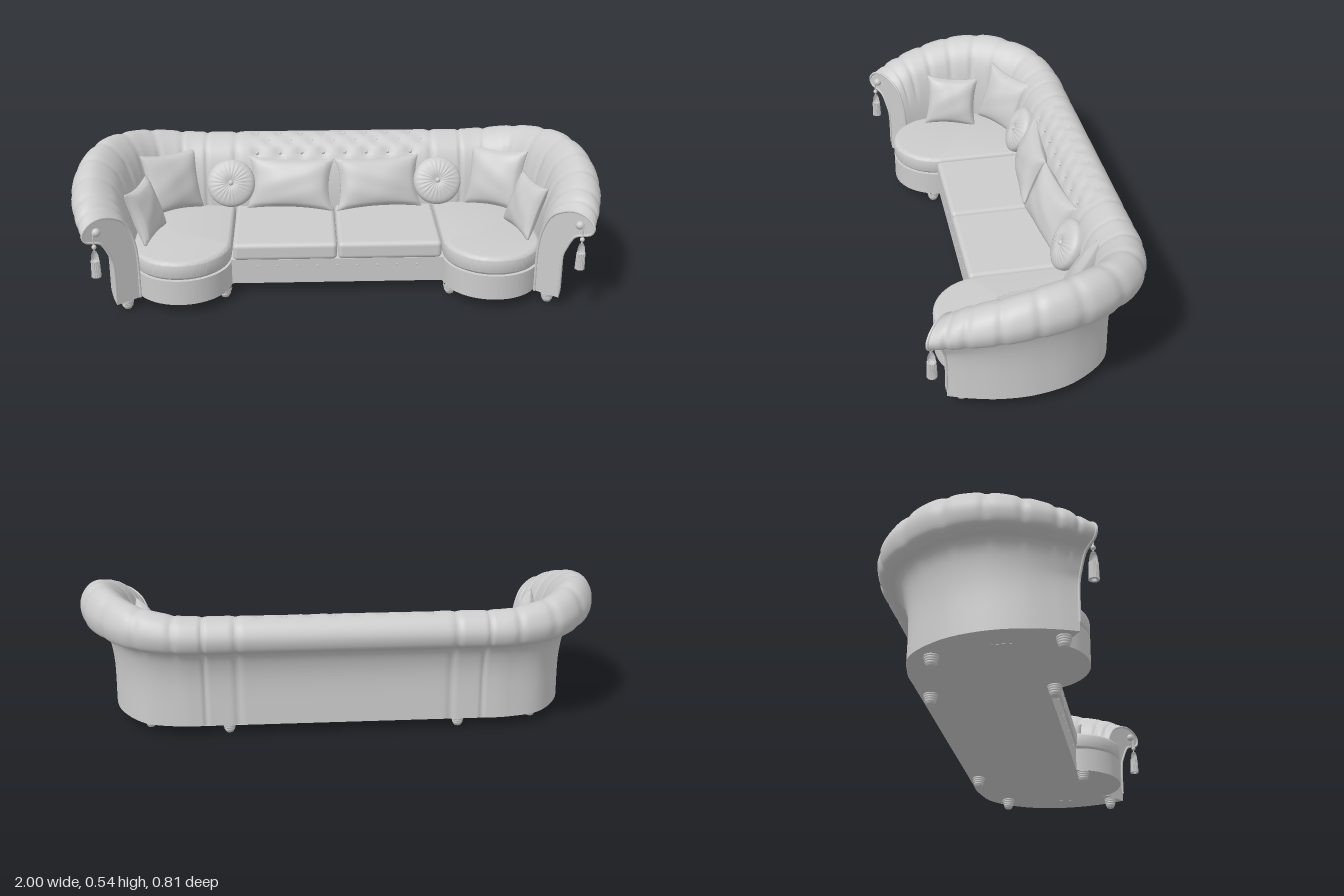
import * as THREE from 'three';
import { mergeVertices, toCreasedNormals } from 'three/addons/utils/BufferGeometryUtils.js';
import { RoundedBoxGeometry } from 'three/addons/geometries/RoundedBoxGeometry.js';

const mat = new THREE.MeshStandardMaterial({ color: 0xcccccc, roughness: 0.8 });
const matDouble = new THREE.MeshStandardMaterial({ color: 0xcccccc, roughness: 0.8, side: THREE.DoubleSide });
const V3 = (x, y, z) => new THREE.Vector3(x, y, z);

function add(parent, name, geo, pos = [0, 0, 0], rot = [0, 0, 0], material = mat) {
  const m = new THREE.Mesh(geo, material);
  m.name = name;
  m.position.set(...pos);
  m.rotation.set(...rot, 'YXZ');
  parent.add(m);
  return m;
}

function smooth(geo) {
  geo.deleteAttribute('uv');
  geo.deleteAttribute('normal');
  const g = mergeVertices(geo, 1e-5);
  g.computeVertexNormals();
  return g;
}

// Stations of the wall, from back centre to arm front: plan x, z, outward normal x, z, roll bottom, roll top
const stations = [
  [0, -0.29, 0, -1, 0.35, 0.48], [0.2, -0.29, 0, -1, 0.35, 0.48],
  [0.4, -0.29, 0, -1, 0.35, 0.48], [0.52, -0.29, 0, -1, 0.35, 0.48],
  [0.62, -0.287, 0.08, -1, 0.352, 0.487], [0.75, -0.245, 0.45, -0.89, 0.36, 0.512],
  [0.845, -0.12, 0.85, -0.52, 0.37, 0.536], [0.882, 0.02, 1, -0.05, 0.37, 0.525],
  [0.88, 0.15, 0.97, 0.2, 0.355, 0.492], [0.855, 0.26, 0.9, 0.42, 0.335, 0.452],
  [0.83, 0.33, 0.79, 0.61, 0.32, 0.405],
];
const SPANS = stations.length - 1;
const track = (a, b, c) => new THREE.CatmullRomCurve3(stations.map(s => V3(s[a], s[b], c === undefined ? 0 : s[c])), false, 'catmullrom', 0.5);
const planCurve = track(0, 1), normalCurve = track(2, 3), heightCurve = track(4, 5);

// Wall section at u: inner foot, up the inner face, over the roll, down the outer face
function sectionAt(u) {
  const t = Math.min(Math.abs(u) / SPANS, 1), sx = u < 0 ? -1 : 1;
  const p = planCurve.getPoint(t), n = normalCurve.getPoint(t).normalize(), h = heightCurve.getPoint(t);
  const b = h.x, H = h.y - h.x;
  const pts = [[-0.1, 0.04], [-0.1, 0.21], [-0.085, b - 0.02], [-0.055, b + 0.5 * H], [-0.01, b + 0.86 * H],
    [0.04, b + H], [0.088, b + 0.86 * H], [0.115, b + 0.5 * H], [0.105, b + 0.14 * H], [0.075, b],
    [0.042, b - 0.015], [0.015, b - 0.065], [0, 0.2], [0, 0.04]];
  const curve = new THREE.CatmullRomCurve3(pts.map(q => V3(q[0], q[1], 0)), false, 'catmullrom', 0.5);
  return {
    b, mid: b + 0.4 * H, curve,
    place: q => V3(sx * (p.x + n.x * q.x), q.y, p.y + n.y * q.x),
  };
}

// Tufting buttons on the middle of the back
const tufts = [];
[[4.9, 0], [4.1, 0.5], [3.2, 0]].forEach(([v, shift]) => {
  for (let i = -4; i < 4; i++) {
    const x = (i + 0.5 + shift) * 0.088;
    if (Math.abs(x) > 0.36) continue;
    const s = sectionAt(x / 0.2);
    tufts.push(s.place(s.curve.getPoint(v / 13)));
  }
});
const pleats = [4, 4.8, 5.6, 6.4, 7.2, 8, 8.8, 9.4];
const bump = (d, w) => Math.exp(-(d * d) / (w * w));

function wallPoint(u, v, s) {
  const q = s.curve.getPoint(v), a = Math.abs(u);
  const onRoll = THREE.MathUtils.smoothstep(q.y, s.b - 0.06, s.b + 0.04);
  let dip = 0.008 * (bump(a - 2, 0.07) + bump(a - 3, 0.07));
  for (const c of pleats) dip += 0.007 * onRoll * bump(a - c, 0.1);
  if (a < 2) {
    const w = s.place(q);
    for (const t of tufts) dip += 0.014 * bump(w.distanceTo(t), 0.02);
  }
  const c = V3(-0.04, Math.min(q.y, s.mid), 0);
  return s.place(q.addScaledVector(c.sub(q).normalize(), dip));
}

function wallGeometry() {
  const NU = SPANS * 32, NV = 65, pos = [], idx = [];
  for (let i = 0; i <= NU; i++) {
    const u = (i / NU * 2 - 1) * SPANS, s = sectionAt(u);
    for (let j = 0; j <= NV; j++) pos.push(...wallPoint(u, j / NV, s).toArray());
  }
  for (let i = 0; i < NU; i++) for (let j = 0; j < NV; j++) {
    const a = i * (NV + 1) + j, b = a + NV + 1;
    idx.push(a, b, a + 1, b, b + 1, a + 1);
  }
  const g = new THREE.BufferGeometry();
  g.setAttribute('position', new THREE.Float32BufferAttribute(pos, 3));
  g.setIndex(idx);
  g.computeVertexNormals();
  return g;
}

// Flat strip under the wall
function wallFootGeometry() {
  const N = 80, pos = [], idx = [];
  for (let i = 0; i <= N; i++) {
    const s = sectionAt((i / N * 2 - 1) * SPANS);
    pos.push(...s.place(V3(0, 0.04, 0)).toArray(), ...s.place(V3(-0.1, 0.04, 0)).toArray());
    if (i < N) idx.push(2 * i, 2 * i + 2, 2 * i + 1, 2 * i + 2, 2 * i + 3, 2 * i + 1);
  }
  const g = new THREE.BufferGeometry();
  g.setAttribute('position', new THREE.Float32BufferAttribute(pos, 3));
  g.setIndex(idx);
  g.computeVertexNormals();
  return g;
}

// Pillow with pinched sides and pointed corners
function pillowGeometry(w, h, thick) {
  const g = new THREE.BoxGeometry(2, 2, 2, 22, 22, 2), p = g.attributes.position;
  for (let i = 0; i < p.count; i++) {
    const u = p.getX(i), v = p.getY(i), k = Math.max(0, (1 - u * u) * (1 - v * v));
    const wrinkle = 1 + 0.06 * Math.sin(5 * u + 3 * v) * Math.cos(4 * v - u);
    p.setXYZ(i, u * w / 2 * (1 - 0.12 * (1 - v * v)), v * h / 2 * (1 - 0.12 * (1 - u * u)),
      p.getZ(i) * (0.004 + thick / 2 * Math.pow(k, 0.45) * wrinkle));
  }
  return smooth(g);
}

// Round pillow with radial pleats
function roundPillowGeometry(r, thick) {
  const g = new THREE.SphereGeometry(1, 96, 24).rotateX(Math.PI / 2), p = g.attributes.position;
  for (let i = 0; i < p.count; i++) {
    const x = p.getX(i), y = p.getY(i), z = p.getZ(i), rad = Math.hypot(x, y);
    const pleat = 0.1 * Math.cos(24 * Math.atan2(y, x)) * rad * bump(rad - 0.4, 0.4);
    p.setXYZ(i, x * r, y * r, Math.sign(z) * thick / 2 * Math.pow(Math.abs(z), 0.7) * (1 - pleat - 0.35 * bump(rad, 0.2)));
  }
  return smooth(g);
}

// Chaise outline with a round front, stacked upwards
function chaiseGeometry(y0, y1, bevel) {
  const s = new THREE.Shape(), r = 0.188 - bevel;
  s.moveTo(0.407 + bevel, 0.2);
  s.lineTo(0.407 + bevel, -0.15);
  s.absarc(0.595, -0.15, r, Math.PI, 2 * Math.PI, false);
  s.lineTo(0.783 - bevel, 0.05);
  s.lineTo(0.68, 0.2);
  const g = new THREE.ExtrudeGeometry(s, { depth: y1 - y0 - 2 * bevel, bevelEnabled: bevel > 0, bevelSize: bevel,
    bevelThickness: bevel, bevelSegments: 6, curveSegments: 40 });
  return toCreasedNormals(g.rotateX(-Math.PI / 2).translate(0, y0 + bevel, 0), 0.7);
}

const lathe = (pts, n = 20) => new THREE.LatheGeometry(pts.map(q => new THREE.Vector2(...q)), n);

function buildSide(name) {
  const side = new THREE.Group();
  side.name = name;
  add(side, 'chaiseBase', chaiseGeometry(0.04, 0.138, 0));
  add(side, 'chaiseCushion', chaiseGeometry(0.138, 0.212, 0.02));

  // Arm front panel with piping
  const end = sectionAt(SPANS), outline = end.curve.getPoints(65);
  const cap = new THREE.ShapeGeometry(new THREE.Shape(outline.map(q => new THREE.Vector2(q.x, q.y))));
  const cp = cap.attributes.position;
  for (let i = 0; i < cp.count; i++) cp.setXYZ(i, ...end.place(V3(cp.getX(i), cp.getY(i), 0)).toArray());
  cap.computeVertexNormals();
  add(side, 'armFrontPanel', cap, [0, 0, 0], [0, 0, 0], matDouble);
  const edge = new THREE.CatmullRomCurve3(outline.filter((q, i) => i % 2 === 0).map(q => end.place(q)));
  add(side, 'armPiping', new THREE.TubeGeometry(edge, 80, 0.005, 8));

  // Rosette and hanging tassel
  add(side, 'rosette', new THREE.SphereGeometry(0.016, 16, 10), [0.875, 0.36, 0.372]);
  add(side, 'tasselCord', new THREE.CylinderGeometry(0.003, 0.003, 0.07, 8), [0.885, 0.325, 0.384]);
  add(side, 'tasselBead', new THREE.SphereGeometry(0.009, 14, 10), [0.885, 0.308, 0.384]);
  add(side, 'tasselHead', lathe([[0, 0.292], [0.008, 0.29], [0.013, 0.275], [0.015, 0.255], [0.012, 0.25], [0, 0.25]]), [0.885, 0, 0.384]);
  for (let i = 0; i < 14; i++) {
    const a = i / 14 * Math.PI * 2;
    add(side, 'tasselStrand', new THREE.CylinderGeometry(0.003, 0.005, 0.064, 6),
      [0.885 + 0.0135 * Math.cos(a), 0.222, 0.384 + 0.0135 * Math.sin(a)]);
  }

  // Ribbed feet
  const foot = [[0, 0], [0.014, 0], [0.017, 0.006]];
  for (let k = 0; k < 4; k++) foot.push([0.018 + k * 0.002, 0.009 + k * 0.008], [0.021 + k * 0.002, 0.012 + k * 0.008], [0.019 + k * 0.002, 0.016 + k * 0.008]);
  for (const [x, z] of [[0.8, 0.275], [0.435, 0.195], [0.735, -0.175], [0.435, -0.25]]) add(side, 'foot', lathe(foot), [x, 0, z]);

  // Middle seat cushion and loose pillows
  add(side, 'seatCushion', new RoundedBoxGeometry(0.401, 0.07, 0.4, 5, 0.018), [0.202, 0.173, -0.022]);
  add(side, 'longPillow', pillowGeometry(0.35, 0.215, 0.09), [0.178, 0.312, -0.178], [-0.38, 0.12, 0]);
  const round = add(side, 'roundPillow', roundPillowGeometry(0.097, 0.08), [0.42, 0.313, -0.185], [-0.45, 0, 0]);
  add(round, 'roundPillowButton', new THREE.SphereGeometry(0.011, 14, 10), [0, 0, 0.027]);
  add(side, 'backPillow', pillowGeometry(0.25, 0.25, 0.085), [0.655, 0.33, -0.165], [-0.32, -0.6, 0.06]);
  add(side, 'armPillow', pillowGeometry(0.225, 0.215, 0.075), [0.738, 0.306, 0.06], [-0.35, -1.35, 0.05]);
  return side;
}

export function createModel() {
  const sofa = new THREE.Group();
  sofa.name = 'sofa';
  add(sofa, 'rolledBackAndArms', wallGeometry(), [0, 0, 0], [0, 0, 0], matDouble);
  add(sofa, 'wallFoot', wallFootGeometry(), [0, 0, 0], [0, 0, 0], matDouble);
  add(sofa, 'seatBase', new THREE.BoxGeometry(0.83, 0.1, 0.41), [0, 0.09, -0.035]);
  const button = new THREE.SphereGeometry(0.007, 12, 8);
  for (const t of tufts) add(sofa, 'tuftButton', button, [t.x, t.y - 0.009, t.z - 0.004]);
  for (let i = -4; i <= 4; i++) add(sofa, 'baseButton', new THREE.SphereGeometry(0.004, 8, 6), [i * 0.077, 0.112, 0.17]);

  const left = buildSide('leftSide'), right = buildSide('rightSide');
  right.scale.x = -1;
  sofa.add(left, right);
  return sofa;
}
